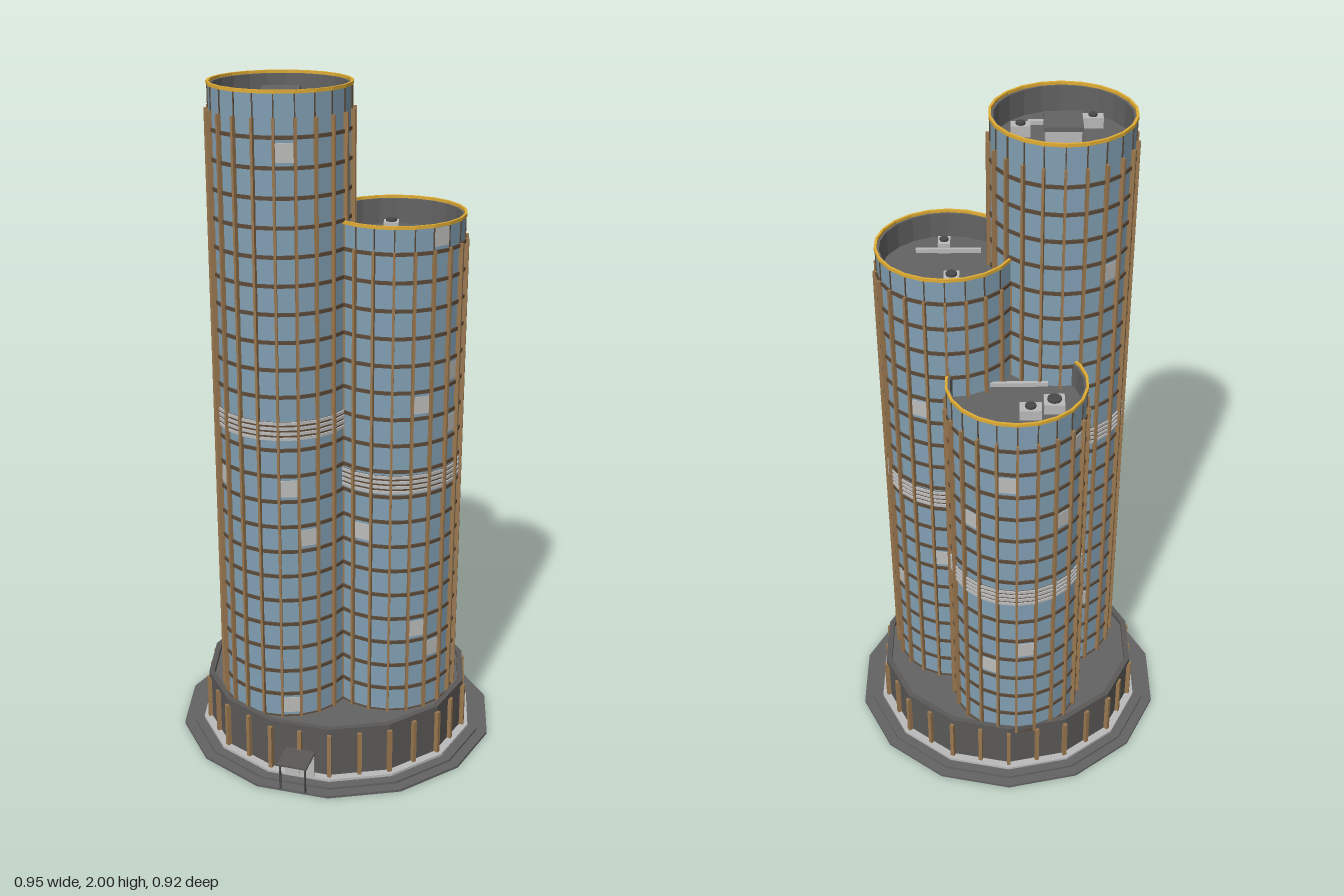
import * as THREE from 'three';

const mat = (name, color) => Object.assign(new THREE.MeshStandardMaterial({ color }), { name });
const M = {
  glass: mat('blue glass', 0x819fb3),
  pale: mat('lit window', 0xbcbcba),
  bronze: mat('bronze fin', 0x9a7850),
  brown: mat('dark brown frame', 0x5c4a38),
  gold: mat('gold rim', 0xe0ac34),
  roof: mat('dark grey roof', 0x636363),
  stone: mat('podium grey', 0x5a5957),
  light: mat('light grey metal', 0xbababa),
  dark: mat('charcoal', 0x484848),
};

const SIDES = 22, STEP = (Math.PI * 2) / SIDES, R = 0.191;
const BASE = 0.165;      // podium roof level
const STOREY = 0.078;
const SQUASH = 0.945;    // podium is slightly shallower than wide

function add(parent, name, geometry, material, x = 0, y = 0, z = 0, ry = 0) {
  const mesh = new THREE.Mesh(geometry, material);
  mesh.name = name;
  mesh.position.set(x, y, z);
  mesh.rotation.y = ry;
  parent.add(mesh);
  return mesh;
}
const box = (w, h, d) => new THREE.BoxGeometry(w, h, d);

// Faceted surface of revolution; profile runs upwards on the outside
function facet(profile, sides) {
  const points = profile.map(([r, y]) => new THREE.Vector2(r, y));
  const geometry = new THREE.LatheGeometry(points, sides).toNonIndexed();
  geometry.computeVertexNormals();
  return geometry;
}
const band = (inner, outer, y0, y1, sides) =>
  facet([[inner, y0], [outer, y0], [outer, y1], [inner, y1], [inner, y0]], sides);
const slab = (r, y0, y1, sides) => facet([[0, y0], [r, y0], [r, y1], [0, y1]], sides);

// Roof unit with a round fan on top
function roofUnit(parent, [x, z, w, d], y) {
  const r = 0.36 * Math.min(w, d);
  add(parent, 'roofUnit', box(w, 0.03, d), M.light, x, y + 0.015, z);
  add(parent, 'roofFan', new THREE.CylinderGeometry(r, r, 0.008, 12), M.dark, x, y + 0.033, z);
}

function tower({ name, x, z, h, louver, pale, units, pipe }) {
  const g = new THREE.Group();
  g.name = name;
  g.position.set(x, 0, z);
  const shoulder = h - 0.07, roofY = h - 0.08;

  // Glass skin, roof recess with its coping, and slim gold rim
  add(g, 'glassSkin', facet([[R, BASE - 0.01], [R, h - 0.008]], SIDES), M.glass);
  add(g, 'roofRecess', facet([[0.19, h - 0.008], [0.182, h - 0.008], [0.182, roofY], [0, roofY]], SIDES), M.roof);
  add(g, 'goldRim', band(0.1885, 0.1955, h - 0.009, h, SIDES), M.gold);

  // Vertical fins up to the shoulder, thin mullions above
  for (let i = 0; i < SIDES; i++) {
    const a = i * STEP, s = Math.sin(a), c = Math.cos(a);
    add(g, 'fin', box(0.007, shoulder - BASE, 0.018), M.bronze, s * 0.194, (shoulder + BASE) / 2, c * 0.194, a);
    add(g, 'mullion', box(0.003, 0.062, 0.005), M.brown, s * R, h - 0.039, c * R, a);
  }

  // Floor ledges, left out at the louvred plant floor
  for (let y = BASE; y <= shoulder; y += STOREY)
    if (Math.abs(y - louver) > 0.035)
      add(g, 'floorLedge', band(0.186, 0.1955, y - 0.005, y + 0.005, SIDES), M.brown);
  add(g, 'plantFloor', band(0.186, 0.1925, louver - 0.027, louver + 0.027, SIDES), M.brown);
  for (let k = -1.5; k <= 1.5; k++)
    add(g, 'louver', band(0.186, 0.197, louver + k * 0.015 - 0.004, louver + k * 0.015 + 0.004, SIDES), M.light);

  // Lit windows: [facet, height], snapped to the storeys
  const apothem = R * Math.cos(STEP / 2);
  for (const [i, height] of pale) {
    const a = (i + 0.5) * STEP;
    const y = BASE + (Math.floor((height - BASE) / STOREY) + 0.5) * STOREY;
    add(g, 'litWindow', box(0.05, 0.05, 0.004), M.pale, Math.sin(a) * apothem, y, Math.cos(a) * apothem, a);
  }

  // Roof equipment
  for (const u of units) roofUnit(g, u, roofY);
  add(g, 'roofPipe', box(pipe[2], 0.012, 0.01), M.light, pipe[0], roofY + 0.012, pipe[1]);
  return g;
}

function podium() {
  const g = new THREE.Group();
  g.name = 'podium';
  const N = 14;
  const ringed = new THREE.Group();
  ringed.name = 'podiumBody';
  ringed.scale.z = SQUASH;
  g.add(ringed);

  // Stepped plinth, base trim, wall and parapet
  add(ringed, 'lowerStep', slab(0.487, 0, 0.008, N), M.roof);
  add(ringed, 'upperStep', slab(0.455, 0.008, 0.015, N), M.roof);
  add(ringed, 'baseTrim', slab(0.425, 0.015, 0.023, N), M.light);
  add(ringed, 'wall', slab(0.4, 0.02, BASE, N), M.stone);
  add(ringed, 'deck', slab(0.392, BASE - 0.01, BASE + 0.002, N), M.roof);
  add(ringed, 'parapet', band(0.388, 0.405, BASE, 0.183, N), M.stone);

  // Bronze fins at every corner and mid-facet
  for (let i = 0; i < N * 2; i++) {
    const a = (i * Math.PI) / N;
    const r = i % 2 ? 0.404 * Math.cos(Math.PI / N) : 0.404;
    add(g, 'podiumFin', box(0.012, 0.14, 0.016), M.bronze,
      Math.sin(a) * r, 0.093, Math.cos(a) * r * SQUASH, a);
  }

  // Entrance set on the facet left of centre
  const e = new THREE.Group();
  e.name = 'entrance';
  e.position.set(-0.085, 0, 0.365);
  e.rotation.y = -Math.PI / N;
  g.add(e);
  add(e, 'canopy', box(0.09, 0.006, 0.09), M.stone, 0, 0.098, 0.045);
  for (const s of [-1, 1]) {
    add(e, 'canopyPost', box(0.005, 0.085, 0.005), M.dark, s * 0.038, 0.053, 0.08);
    add(e, 'door', box(0.044, 0.066, 0.008), M.pale, s * 0.023, 0.055, 0.013);
  }
  return g;
}

export function createModel() {
  const model = new THREE.Group();
  model.name = 'towerCluster';
  model.add(podium());

  const tall = tower({
    name: 'tallTower', x: -0.144, z: 0.101, h: 2, louver: 1.08,
    pale: [[0, 1.85], [0, 0.91], [0, 0.2], [1, 0.73], [4, 1.85], [15, 0.6], [17, 1.3], [18, 0.9], [13, 1.6], [12, 0.45]],
    units: [[0.11, 0.033, 0.052, 0.035], [-0.082, 0.084, 0.056, 0.032]],
    pipe: [0.015, 0.083, 0.15],
  });
  add(tall, 'penthouse', box(0.094, 0.046, 0.094), M.light, 0, 1.943, 0);
  add(tall, 'penthouseCap', box(0.102, 0.012, 0.102), M.roof, 0, 1.972, 0);
  model.add(tall);

  model.add(tower({
    name: 'middleTower', x: 0.166, z: 0.051, h: 1.645, louver: 0.905,
    pale: [[1, 1.14], [1, 0.44], [-2, 0.73], [2, 1.6], [3, 1.23], [3, 1.09], [4, 0.62], [7, 0.5], [5, 0.38],
      [2, 0.38], [4, 0.2], [4, 0.27], [5, 1.52], [9, 1.25], [10, 0.7]],
    units: [[-0.015, -0.083, 0.042, 0.042], [0.01, 0.105, 0.034, 0.046]],
    pipe: [-0.002, 0.08, 0.18],
  }));

  model.add(tower({
    name: 'shortTower', x: -0.023, z: -0.18, h: 1.35, louver: 0.73,
    pale: [[8, 1.0], [10, 1.15], [11, 0.55], [13, 0.95], [9, 0.4], [15, 0.5], [14, 1.2]],
    units: [[-0.102, -0.015, 0.057, 0.055], [-0.037, -0.047, 0.06, 0.042]],
    pipe: [-0.007, 0.085, 0.16],
  }));
  return model;
}
